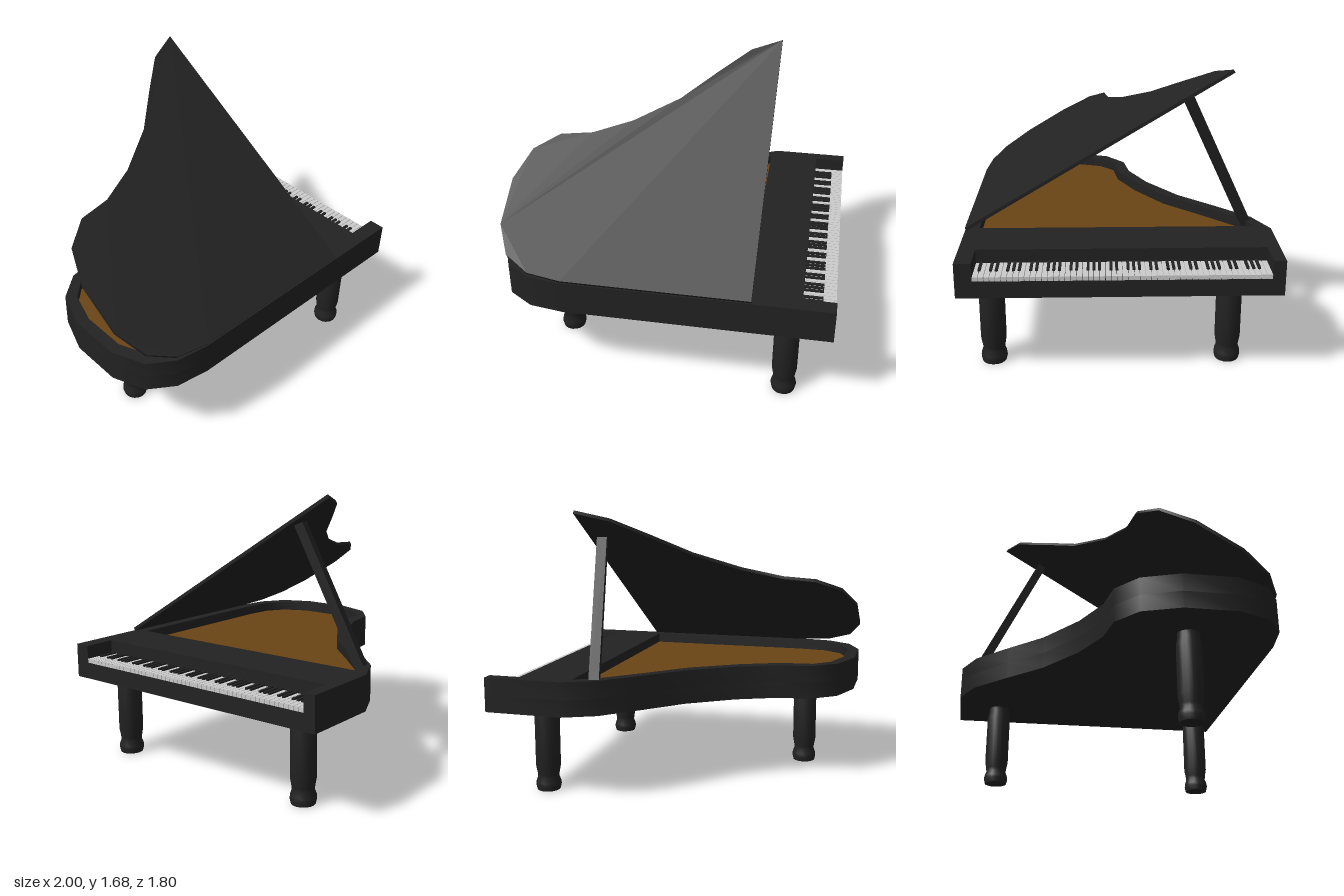
import * as THREE from 'three';
import { toCreasedNormals } from 'three/addons/utils/BufferGeometryUtils.js';

const black = new THREE.MeshStandardMaterial({ color: 0x222222 });
const wood = new THREE.MeshStandardMaterial({ color: 0x6b4415 });
const ivory = new THREE.MeshStandardMaterial({ color: 0xcccccc });

// Plan points are [x, z], running round the curved side from the treble end
const curve = [
  [0.53, -0.9], [0.34, -0.81], [0.14, -0.61], [-0.06, -0.4], [-0.33, -0.21],
  [-0.57, -0.1], [-0.77, -0.07], [-0.92, 0.05], [-1, 0.27], [-1, 0.58],
  [-0.92, 0.77], [-0.77, 0.87], [-0.57, 0.9],
];
const inner = [
  [0.49, -0.81], [0.4, -0.77], [0.34, -0.72], [0.14, -0.52], [-0.06, -0.31],
  [-0.33, -0.13], [-0.57, -0.02], [-0.77, 0.005], [-0.87, 0.1], [-0.93, 0.29],
  [-0.93, 0.56], [-0.86, 0.72], [-0.74, 0.8], [-0.57, 0.82], [0.49, 0.82],
];
const KEY_X = 0.81, KEY_Z0 = 0.805, KEY_Z1 = -0.83;
const BOTTOM = 0.525, BED = 0.625, TOP = 0.73;

const toPoints = (pts) => pts.map(([x, z]) => new THREE.Vector2(x, -z));

function add(parent, name, geometry, material) {
  const mesh = new THREE.Mesh(geometry, material);
  mesh.name = name;
  parent.add(mesh);
  return mesh;
}

// Upright slab with the given plan, from y0 to y1
function slab(pts, y0, y1, hole) {
  const shape = new THREE.Shape(toPoints(pts));
  if (hole) shape.holes.push(new THREE.Path(toPoints(hole)));
  const g = new THREE.ExtrudeGeometry(shape, { depth: y1 - y0, bevelEnabled: false });
  g.rotateX(-Math.PI / 2).translate(0, y0, 0);
  return toCreasedNormals(g, 0.7);
}

function makeLeg() {
  const profile = [
    [0, 0], [0.07, 0], [0.077, 0.03], [0.075, 0.05], [0.064, 0.08], [0.066, 0.1],
    [0.075, 0.15], [0.075, 0.45], [0.066, 0.5], [0.065, 0.54],
  ].map(([r, y]) => new THREE.Vector2(r, y));
  return toCreasedNormals(new THREE.LatheGeometry(profile, 16), 0.8);
}

function makeKeyboard() {
  const keyboard = new THREE.Group();
  keyboard.name = 'keyboard';
  const count = 52, pitch = (KEY_Z0 - KEY_Z1) / count;
  const whiteGeo = new THREE.BoxGeometry(1 - KEY_X, 0.025, pitch - 0.003);
  const blackGeo = new THREE.BoxGeometry(0.115, 0.02, pitch * 0.5);
  const hasSharp = [true, false, true, true, false, true, true]; // from A to G
  for (let i = 0; i < count; i++) {
    add(keyboard, 'whiteKey', whiteGeo, ivory)
      .position.set((1 + KEY_X) / 2, BED + 0.0125, KEY_Z0 - (i + 0.5) * pitch);
    if (hasSharp[i % 7] && i < count - 1) {
      add(keyboard, 'blackKey', blackGeo, black)
        .position.set(KEY_X + 0.0575, BED + 0.025, KEY_Z0 - (i + 1) * pitch);
    }
  }
  return keyboard;
}

export function createModel() {
  const piano = new THREE.Group();
  piano.name = 'grandPiano';

  // Case: solid lower part, then a rim open over the soundboard and notched for the keys
  add(piano, 'caseBottom', slab([[1, -0.9], ...curve, [1, 0.9]], BOTTOM, BED), black);
  const rim = [
    [1, -0.9], ...curve, [1, 0.9],
    [1, KEY_Z0], [KEY_X, KEY_Z0], [KEY_X, KEY_Z1], [1, KEY_Z1],
  ];
  add(piano, 'caseRim', slab(rim, BED, TOP, inner), black);
  add(piano, 'soundboard', slab(inner, BED, 0.67), wood);
  piano.add(makeKeyboard());

  // Lid: same curved plan, hinged along the straight side
  const angle = 0.545;
  const lidShape = new THREE.Shape(
    [...curve, [0.53, 0.9]].map(([x, z]) => new THREE.Vector2(x, 0.9 - z)));
  const lidGeo = new THREE.ExtrudeGeometry(lidShape, { depth: 0.02, bevelEnabled: false });
  lidGeo.rotateX(angle - Math.PI / 2);
  add(piano, 'lid', toCreasedNormals(lidGeo, 0.7), black).position.set(0, TOP, 0.89);

  // Prop stick leaning from the rim to the lid
  const foot = new THREE.Vector3(0.37, 0.7, -0.775);
  const head = new THREE.Vector3(0.45, 1.505, -0.4);
  const prop = add(piano, 'lidProp',
    new THREE.BoxGeometry(0.06, 0.055, foot.distanceTo(head)), black);
  prop.position.copy(foot).lerp(head, 0.5);
  prop.lookAt(head);

  // Two legs under the keyboard end, one under the tail
  const legGeo = makeLeg();
  for (const [x, z] of [[0.735, 0.735], [0.735, -0.635], [-0.675, 0.37]]) {
    add(piano, 'leg', legGeo, black).position.set(x, 0, z);
  }
  return piano;
}
